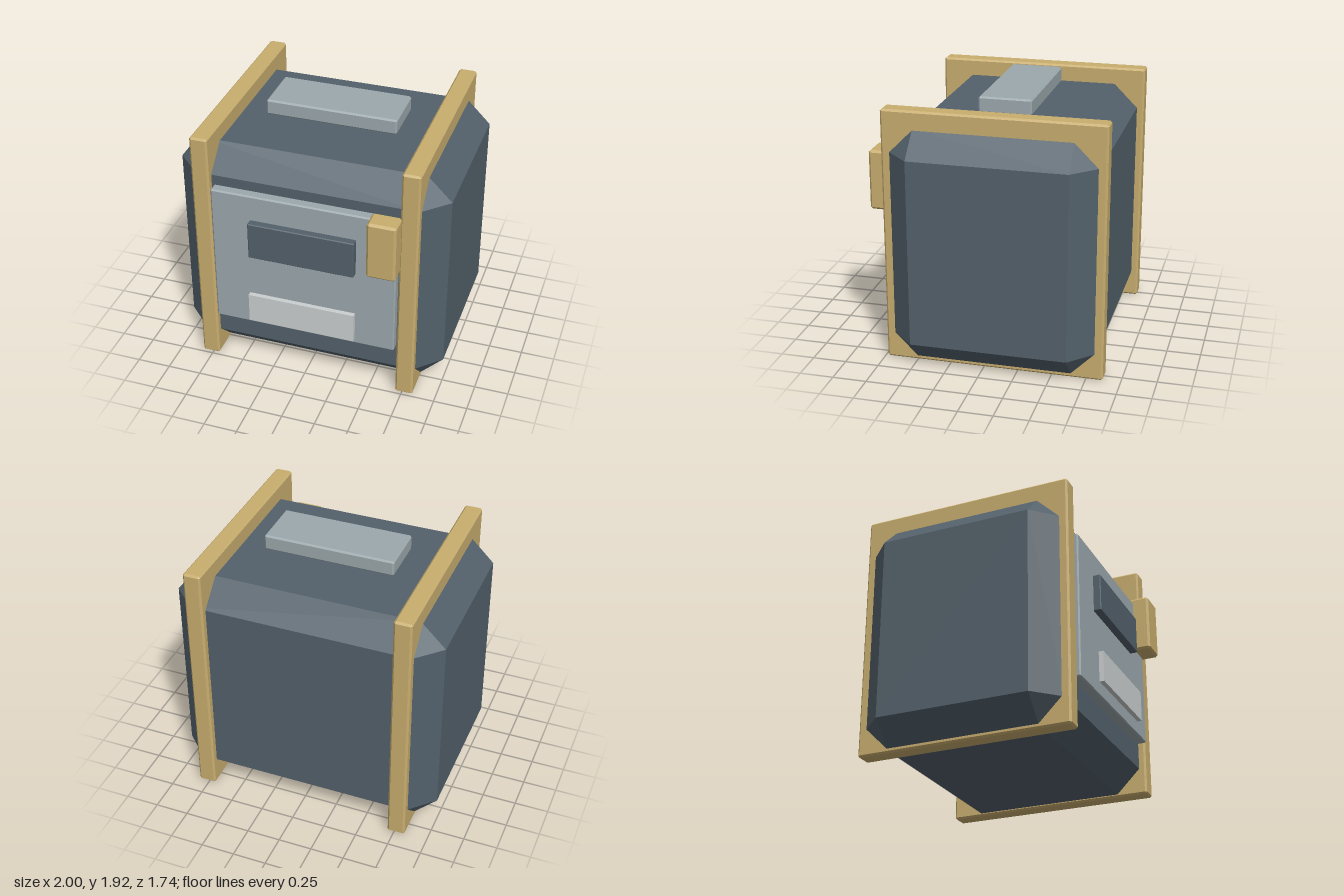
import * as THREE from 'three';
import { ConvexGeometry } from 'three/addons/geometries/ConvexGeometry.js';

const material = (color) => new THREE.MeshStandardMaterial({ color, flatShading: true });

// Box between two corners with every edge cut flat by c
function chamferBox(name, min, max, c, mat) {
  const lo = new THREE.Vector3(...min), hi = new THREE.Vector3(...max);
  const half = hi.clone().sub(lo).multiplyScalar(0.5);
  const points = [];
  for (const sx of [-1, 1]) for (const sy of [-1, 1]) for (const sz of [-1, 1]) {
    const { x, y, z } = half;
    points.push(
      new THREE.Vector3(sx * x, sy * (y - c), sz * (z - c)),
      new THREE.Vector3(sx * (x - c), sy * y, sz * (z - c)),
      new THREE.Vector3(sx * (x - c), sy * (y - c), sz * z)
    );
  }
  const mesh = new THREE.Mesh(new ConvexGeometry(points), mat);
  mesh.name = name;
  mesh.position.copy(lo).add(hi).multiplyScalar(0.5);
  return mesh;
}

export function createModel() {
  const group = new THREE.Group();
  group.name = 'crate';

  const slate = material(0x53616b);
  const brass = material(0xc8ad6e);
  const steel = material(0x9ca8ac);
  const pale = material(0xcacfcf);

  // Heavy chamfered body
  group.add(chamferBox('body', [-1, 0.02, -0.82], [1, 1.76, 0.68], 0.18, slate));

  // Two upright bands around the body
  for (const [name, x] of [['leftBand', 0.765], ['rightBand', -0.765]]) {
    group.add(chamferBox(name, [x - 0.066, 0, -0.872], [x + 0.066, 1.887, 0.732], 0.014, brass));
  }

  // Front door with its raised window
  group.add(chamferBox('door', [-0.685, 0.392, 0.64], [0.685, 1.503, 0.75], 0.01, steel));
  group.add(chamferBox('window', [-0.393, 1.017, 0.73], [0.393, 1.305, 0.805], 0.006, slate));

  // Plain plate standing just off the door
  const plate = new THREE.Mesh(new THREE.BoxGeometry(0.8, 0.23, 0.035), pale);
  plate.name = 'plate';
  plate.position.set(0, 0.574, 0.797);
  group.add(plate);

  // Latch block on the left edge of the door
  group.add(chamferBox('latch', [0.5, 1.097, 0.716], [0.71, 1.54, 0.872], 0.016, brass));

  // Carrying pad above the lid
  group.add(chamferBox('topPad', [-0.488, 1.808, -0.265], [0.488, 1.925, 0.122], 0.012, steel));

  return group;
}
